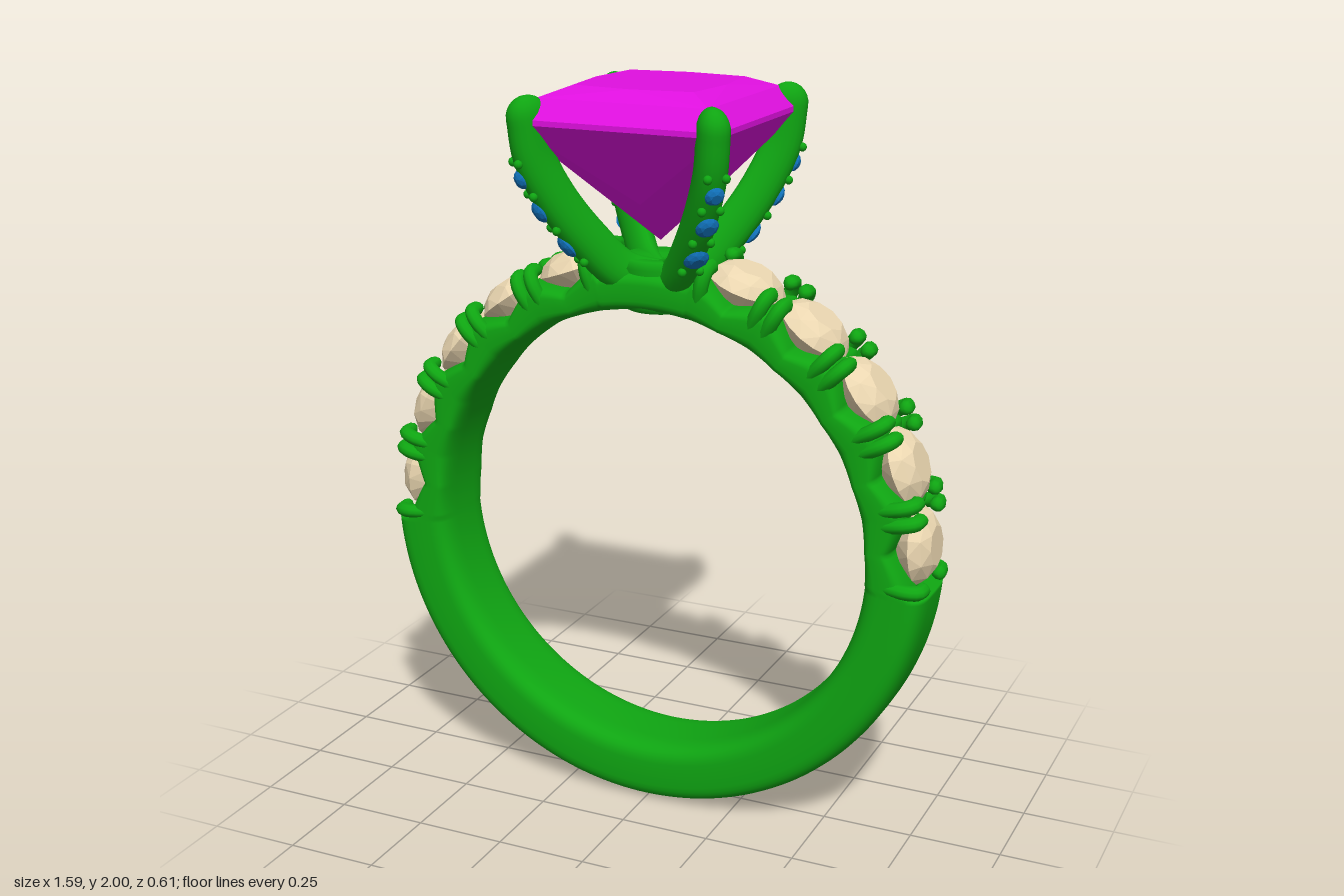
import * as THREE from 'three';
import { ConvexGeometry } from 'three/addons/geometries/ConvexGeometry.js';

const V = (x, y, z) => new THREE.Vector3(x, y, z);
const RAD = Math.PI / 180;
const CENTER_Y = 0.79;
const FIRST = -3.75, STEP = 16.5, STONES = 5; // degrees along each shoulder

const metal = new THREE.MeshStandardMaterial({ color: 0x0fa512 });
const magenta = new THREE.MeshStandardMaterial({ color: 0xe010e0 });
const cream = new THREE.MeshStandardMaterial({ color: 0xead6b0 });
const blue = new THREE.MeshStandardMaterial({ color: 0x1070b8 });

function add(parent, name, geometry, material) {
  const mesh = new THREE.Mesh(geometry, material);
  mesh.name = name;
  parent.add(mesh);
  return mesh;
}

// Skin over equal loops of points, optionally joined end to start
function loft(sections, closed) {
  const n = sections[0].length, m = sections.length, index = [];
  for (let i = 0; i < (closed ? m : m - 1); i++) {
    for (let j = 0; j < n; j++) {
      const a = i * n + j, b = i * n + (j + 1) % n;
      const c = ((i + 1) % m) * n + j, d = ((i + 1) % m) * n + (j + 1) % n;
      index.push(a, b, c, b, d, c);
    }
  }
  const g = new THREE.BufferGeometry().setFromPoints(sections.flat());
  g.setIndex(index);
  g.computeVertexNormals();
  return g;
}

// Oval sweep along a flat curve with a rounded tip; side is normal to the curve's plane
function sweep(curve, side, a, b, steps, sides) {
  const sections = [];
  const ring = (p, t, k) => {
    const out = side.clone().cross(t).normalize();
    const loop = [];
    for (let j = 0; j < sides; j++) {
      const w = j / sides * Math.PI * 2, c = Math.cos(w);
      loop.push(p.clone().addScaledVector(out, c * a * k)
        .addScaledVector(side, Math.sin(w) * b * k * (1 + 0.2 * c)));
    }
    sections.push(loop);
  };
  for (let i = 0; i <= steps; i++) ring(curve.getPoint(i / steps), curve.getTangent(i / steps), 1);
  const end = curve.getPoint(1), t = curve.getTangent(1);
  for (let i = 1; i <= 6; i++) {
    const w = i / 6 * Math.PI / 2;
    ring(end.clone().addScaledVector(t, Math.sin(w) * a), t, Math.max(Math.cos(w), 0.001));
  }
  return loft(sections, false);
}

// Round faceted stone, axis +y, girdle at y = 0
function roundStone(r, crown, pavilion) {
  const pts = [V(0, -pavilion, 0)];
  const ring = (n, radius, y, shift) => {
    for (let i = 0; i < n; i++) {
      const w = (i + shift) / n * Math.PI * 2;
      pts.push(V(Math.cos(w) * radius, y, Math.sin(w) * radius));
    }
  };
  ring(16, r, 0, 0);
  ring(8, r * 0.82, crown * 0.6, 0.5);
  ring(8, r * 0.52, crown, 0);
  ring(8, r * 0.6, -pavilion * 0.55, 0.5);
  return new ConvexGeometry(pts);
}

// Band radius: full below, scalloped under the shoulder stones
function outerRadius(deg) {
  const up = deg > 90 && deg <= 270 ? 180 - deg : deg > 270 ? deg - 360 : deg;
  if (up < FIRST) return 0.79;
  const u = (up - FIRST) / STEP;
  if (u > STONES) return 0.73;
  return 0.695 + 0.055 * Math.abs((u % 1) * 2 - 1);
}

function bandGeometry() {
  const inner = 0.62, sections = [], count = 480, sides = 40;
  const soft = v => Math.sign(v) * Math.pow(Math.abs(v), 0.5);
  for (let i = 0; i < count; i++) {
    const deg = i / count * 360, w = deg * RAD, outer = outerRadius(deg);
    const mid = (inner + outer) / 2, half = (outer - inner) / 2, loop = [];
    for (let j = 0; j < sides; j++) {
      const q = j / sides * Math.PI * 2;
      const r = mid + half * soft(Math.cos(q));
      loop.push(V(Math.cos(w) * r, CENTER_Y + Math.sin(w) * r, -0.123 * soft(Math.sin(q))));
    }
    sections.push(loop);
  }
  return loft(sections, true);
}

// Square stone from stacked corner rings and bulging pavilion ridges
function centerStoneGeometry() {
  const pts = [V(0, 1.585, 0)];
  for (const [h, y] of [[0.165, 2.0], [0.235, 1.972], [0.28, 1.922], [0.28, 1.908]])
    for (const x of [-h, h]) for (const z of [-h, h]) pts.push(V(x, y, z));
  for (const s of [-1, 1]) {
    pts.push(V(s * 0.125, 1.7, 0), V(0, 1.7, s * 0.125));
    pts.push(V(s * 0.185, 2.0, 0), V(0, 2.0, s * 0.185));
  }
  return new ConvexGeometry(pts);
}

export function createModel() {
  const model = new THREE.Group();
  model.name = 'ring';
  add(model, 'band', bandGeometry(), metal);
  add(model, 'centerStone', centerStoneGeometry(), magenta);

  // Collar below the center stone
  const collar = [[0, 1.405], [0.09, 1.405], [0.112, 1.42], [0.112, 1.45], [0.1, 1.49],
    [0.115, 1.525], [0.1, 1.545], [0.05, 1.54], [0, 1.53]].map(p => new THREE.Vector2(...p));
  add(model, 'collar', new THREE.LatheGeometry(collar, 40), metal);

  // Shoulder stones with paired claws between them
  const stone = roundStone(0.106, 0.047, 0.08);
  const clawGeo = [-1, 1].map(s => sweep(new THREE.CatmullRomCurve3([
    V(0.675, 0, s * 0.1), V(0.735, 0, s * 0.113), V(0.77, 0, s * 0.1), V(0.775, 0, s * 0.07)]),
    V(0, 1, 0), 0.02, 0.02, 10, 10));
  for (const side of [-1, 1]) {
    const shoulder = new THREE.Group();
    shoulder.name = side > 0 ? 'leftShoulder' : 'rightShoulder';
    shoulder.position.y = CENTER_Y;
    model.add(shoulder);
    const angle = deg => (side > 0 ? deg : 180 - deg) * RAD;
    for (let i = 0; i < STONES; i++) {
      const w = angle(FIRST + STEP * (i + 0.5));
      const m = add(shoulder, 'shoulderStone', stone, cream);
      m.position.set(Math.cos(w) * 0.742, Math.sin(w) * 0.742, 0);
      m.rotation.z = w - Math.PI / 2;
    }
    for (let i = 0; i <= STONES; i++) {
      const offsets = i === 0 ? [0.8] : i === STONES ? [-1.7] : [-1.7, 1.7];
      for (const o of offsets) for (const g of clawGeo)
        add(shoulder, 'shoulderClaw', g, metal).rotation.z = angle(FIRST + STEP * i + o);
    }
  }

  // Four curved prongs, each set with three small stones and beads
  const path = new THREE.CatmullRomCurve3([[0, 1.475], [0.075, 1.51], [0.14, 1.6], [0.2, 1.71],
    [0.24, 1.82], [0.252, 1.925]].map(([d, y]) => V(d, y, d)));
  const across = V(Math.SQRT1_2, 0, -Math.SQRT1_2);
  const prongGeo = sweep(path, across, 0.056, 0.04, 32, 20);
  const bead = new THREE.SphereGeometry(0.012, 10, 8);
  const outward = t => across.clone().cross(path.getTangent(t)).normalize();
  for (let k = 0; k < 4; k++) {
    const prong = new THREE.Group();
    prong.name = 'prong';
    prong.rotation.y = k * Math.PI / 2;
    model.add(prong);
    add(prong, 'prongClaw', prongGeo, metal);
    [[0.44, 0.034], [0.6, 0.031], [0.745, 0.026]].forEach(([t, r]) => {
      const n = outward(t);
      const m = add(prong, 'prongStone', roundStone(r, 0.014, 0.02), blue);
      m.position.copy(path.getPoint(t)).addScaledVector(n, 0.055);
      m.quaternion.setFromUnitVectors(V(0, 1, 0), n);
    });
    for (const t of [0.36, 0.52, 0.675, 0.81]) for (const s of [-1, 1])
      add(prong, 'prongBead', bead, metal).position.copy(path.getPoint(t))
        .addScaledVector(outward(t), 0.052).addScaledVector(across, s * 0.024);
  }
  return model;
}
